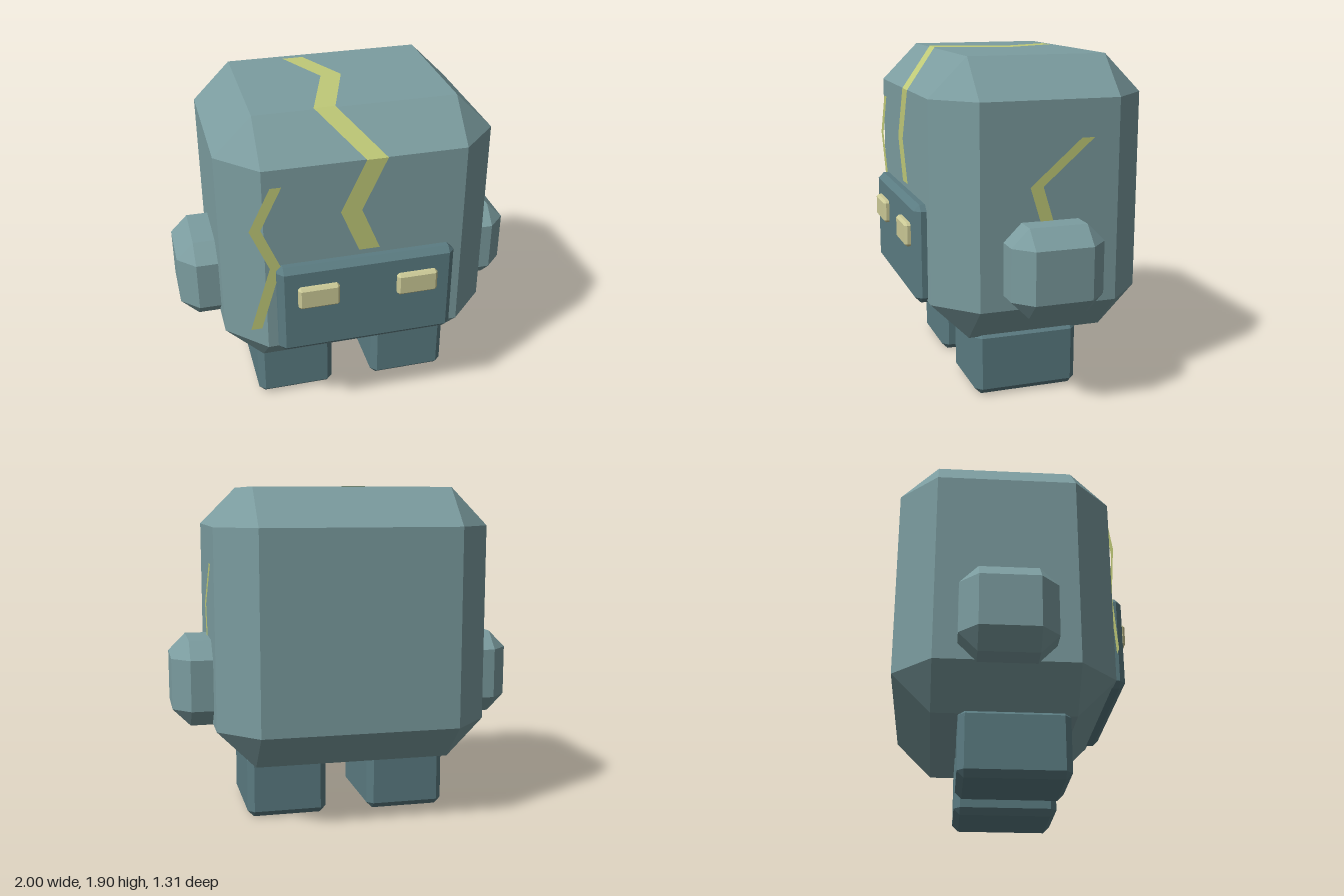
import * as THREE from 'three';
import { ConvexGeometry } from 'three/addons/geometries/ConvexGeometry.js';

const stone = new THREE.MeshStandardMaterial({ color: 0x7c9da0 });
stone.name = 'stone';
const darkStone = new THREE.MeshStandardMaterial({ color: 0x5b7c82 });
darkStone.name = 'darkStone';
const glow = new THREE.MeshStandardMaterial({ color: 0xc0ca78, side: THREE.DoubleSide });
glow.name = 'crackYellow';
const cream = new THREE.MeshStandardMaterial({ color: 0xccca97 });
cream.name = 'eyeCream';

// Box between two corners with every edge and corner cut off by c
function chamferBox(name, min, max, c, material) {
  const half = max.map((v, i) => (v - min[i]) / 2);
  const points = [];
  for (const sx of [-1, 1]) for (const sy of [-1, 1]) for (const sz of [-1, 1]) {
    for (let axis = 0; axis < 3; axis++) {
      const p = half.map((h, i) => (i === axis ? h : h - c));
      points.push(new THREE.Vector3(sx * p[0], sy * p[1], sz * p[2]));
    }
  }
  const mesh = new THREE.Mesh(new ConvexGeometry(points), material);
  mesh.name = name;
  mesh.position.set(...max.map((v, i) => (v + min[i]) / 2));
  return mesh;
}

// Flat ribbon through pairs of [left, right] points, listed from top to bottom
function crack(name, pairs) {
  const pos = [];
  for (let i = 0; i < pairs.length - 1; i++) {
    const [l0, r0] = pairs[i], [l1, r1] = pairs[i + 1];
    pos.push(...l0, ...l1, ...r0, ...r0, ...l1, ...r1);
  }
  const geo = new THREE.BufferGeometry();
  geo.setAttribute('position', new THREE.Float32BufferAttribute(pos, 3));
  geo.computeVertexNormals();
  const mesh = new THREE.Mesh(geo, glow);
  mesh.name = name;
  return mesh;
}

export function createModel() {
  const model = new THREE.Group();
  model.name = 'stoneGolem';

  model.add(chamferBox('body', [-0.775, 0.345, -0.655], [0.775, 1.895, 0.555], 0.215, stone));
  model.add(chamferBox('facePanel', [-0.503, 0.55, 0.45], [0.503, 1.103, 0.62], 0.033, darkStone));

  // Arms, legs and eyes on both sides
  for (const [side, s] of [['left', 1], ['right', -1]]) {
    const pair = (part, x0, x1, y, z, c, material) => model.add(chamferBox(side + part,
      [Math.min(s * x0, s * x1), y[0], z[0]], [Math.max(s * x0, s * x1), y[1], z[1]], c, material));
    pair('Arm', 0.6, 1.0, [0.55, 1.04], [-0.31, 0.212], 0.1, stone);
    pair('Leg', 0.125, 0.587, [0, 0.375], [-0.295, 0.305], 0.036, darkStone);
    pair('Eye', 0.165, 0.397, [0.852, 0.985], [0.59, 0.653], 0.014, cream);
  }

  // Main crack: over the top, down the front slope and onto the front
  const w = 0.117;
  model.add(crack('mainCrack', [
    [-0.248, 1.9, -0.39], [-0.093, 1.9, -0.083], [-0.23, 1.9, 0.337],
    [0, 1.68, 0.56], [-0.14, 1.385, 0.56], [-0.037, 1.135, 0.56],
  ].map(([x, y, z]) => [[x, y, z], [x + w, y, z]])));

  // Thin crack beside the face panel
  model.add(crack('frontCrack', [
    [-0.518, 1.58], [-0.638, 1.337], [-0.535, 1.09], [-0.655, 0.703],
  ].map(([x, y]) => [[x, y, 0.56], [x + 0.062, y, 0.56]])));

  // Crack on the left side, running in behind the arm
  model.add(crack('sideCrack', [
    [-0.222, 1.475], [0.065, 1.225], [-0.02, 0.95],
  ].map(([z, y]) => [[0.78, y, z], [0.78, y, z - 0.073]])));

  return model;
}
